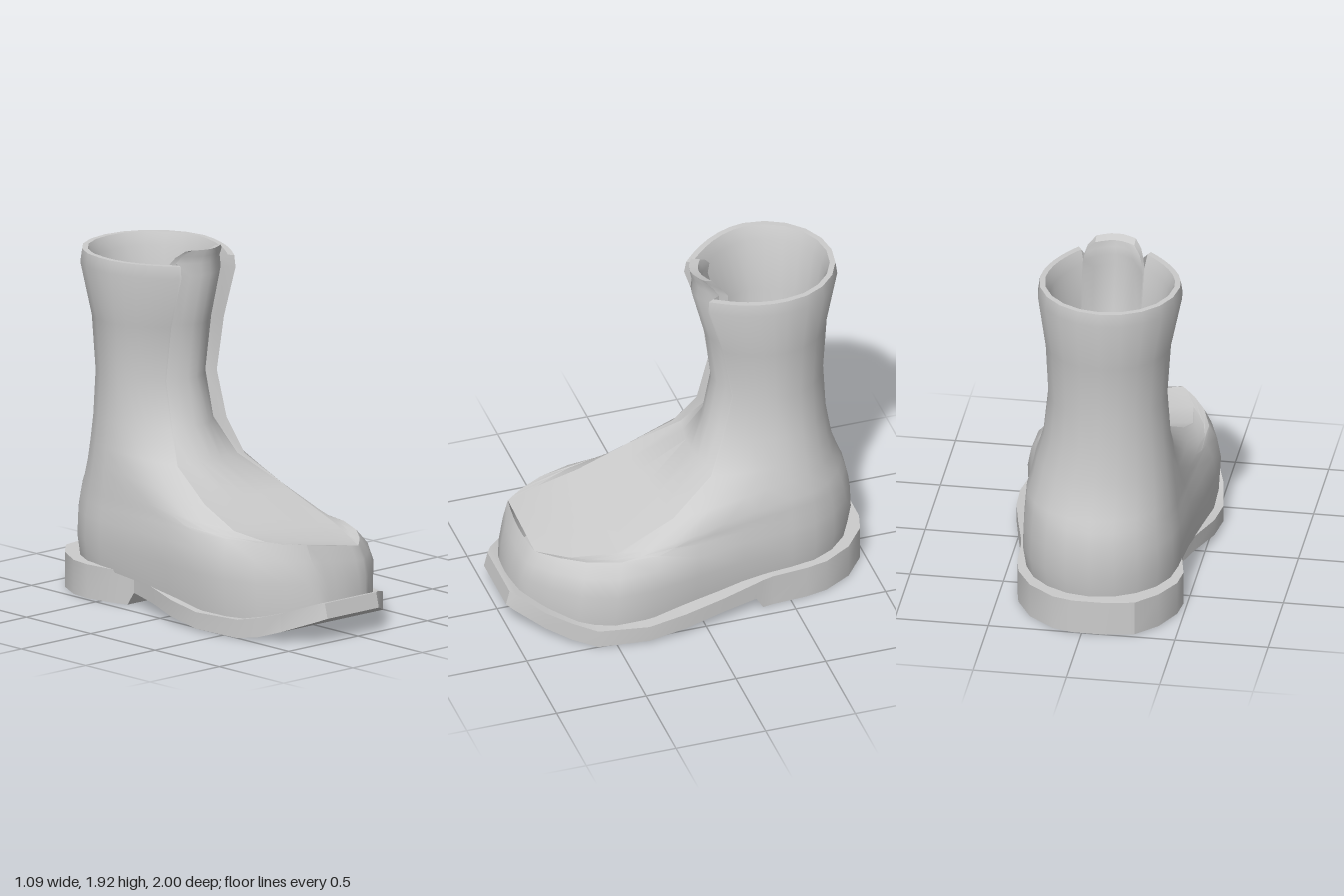
import * as THREE from 'three';
import { mergeGeometries, toCreasedNormals } from 'three/addons/utils/BufferGeometryUtils.js';

const { lerp } = THREE.MathUtils;
const CX = -0.07, CZ = -0.52; // axis of the shaft

// Sole slices from heel to toe: z, right x, left x, top y, bottom y
const SOLE = [
  [-1, -0.13, 0.05, 0.19, 0], [-0.97, -0.28, 0.16, 0.19, 0], [-0.86, -0.39, 0.3, 0.19, 0],
  [-0.71, -0.465, 0.385, 0.185, 0], [-0.59, -0.48, 0.41, 0.185, 0], [-0.4, -0.44, 0.42, 0.18, 0],
  [-0.34, -0.42, 0.43, 0.175, 0], [-0.3, -0.41, 0.44, 0.17, 0.07], [-0.1, -0.465, 0.485, 0.145, 0.06],
  [0.12, -0.53, 0.53, 0.125, 0.035], [0.33, -0.545, 0.545, 0.1, 0.01], [0.6, -0.5, 0.5, 0.1, 0],
  [0.72, -0.46, 0.42, 0.125, 0.02], [0.84, -0.41, 0.33, 0.16, 0.06], [0.97, -0.27, 0.19, 0.205, 0.115],
  [1, -0.22, 0.15, 0.21, 0.13],
];

// Upper rings from sole to rim: front edge A (xyz), front edge B (xyz),
// heel side xs, side y, back z, ball bulge
const RINGS = [
  [-0.2, 0.2, 0.93, 0.13, 0.2, 0.92, -0.44, 0.37, 0.18, -0.94, 0.08],
  [-0.21, 0.3, 0.92, 0.14, 0.28, 0.91, -0.455, 0.39, 0.3, -0.96, 0.08],
  [-0.23, 0.42, 0.89, 0.15, 0.37, 0.88, -0.45, 0.385, 0.43, -0.955, 0.07],
  [-0.24, 0.51, 0.86, 0.15, 0.44, 0.84, -0.44, 0.38, 0.5, -0.945, 0.05],
  [-0.33, 0.5, 0.66, 0.25, 0.43, 0.68, -0.435, 0.375, 0.56, -0.93, 0.04],
  [-0.365, 0.53, 0.43, 0.34, 0.465, 0.44, -0.43, 0.37, 0.62, -0.905, 0.03],
  [-0.355, 0.63, 0.19, 0.31, 0.6, 0.12, -0.42, 0.34, 0.72, -0.87, 0.01],
  [-0.3, 0.78, -0.08, 0.22, 0.76, -0.12, -0.41, 0.32, 0.82, -0.85, 0],
  [-0.235, 0.95, -0.19, 0.165, 0.95, -0.2, -0.395, 0.28, 0.96, -0.83, 0],
  [-0.225, 1.2, -0.25, 0.15, 1.2, -0.26, -0.38, 0.255, 1.2, -0.82, 0],
  [-0.225, 1.5, -0.21, 0.155, 1.5, -0.21, -0.4, 0.27, 1.5, -0.84, 0],
  [-0.235, 1.78, -0.12, 0.16, 1.78, -0.125, -0.46, 0.31, 1.79, -0.9, 0],
  [-0.23, 1.845, -0.13, 0.155, 1.845, -0.13, -0.45, 0.3, 1.86, -0.89, 0],
];

function soleTop(z) {
  let i = 0;
  while (i < SOLE.length - 2 && SOLE[i + 1][0] < z) i++;
  const a = SOLE[i], b = SOLE[i + 1];
  return lerp(a[3], b[3], (z - a[0]) / (b[0] - a[0]));
}

// Surface through rows of points; seen from outside, columns run leftward as rows run up
function grid(rows) {
  const n = rows[0].length, index = [];
  for (let i = 0; i < rows.length - 1; i++) {
    for (let j = 0; j < n - 1; j++) {
      const a = i * n + j, b = a + 1, d = a + n, c = d + 1;
      index.push(a, d, c, a, c, b);
    }
  }
  const g = new THREE.BufferGeometry();
  g.setAttribute('position', new THREE.Float32BufferAttribute(rows.flat(2), 3));
  g.setIndex(index);
  return g.toNonIndexed();
}

// One ring of the upper: front edge A, side, back, side, front edge B
function ringPoints(r, first) {
  const [ax, ay, az, bx, by, bz, xl, xr, ys, zb, bulge] = r;
  const pts = [], N = 8, H = 10;
  const fore = (ex, ey, ez, sx, push, t) => {
    const s = Math.sin(t * Math.PI / 2);
    const z = lerp(CZ, ez, s);
    const x = lerp(sx, ex, Math.pow(s, 2 + bulge * 50)) + push * Math.sin(Math.PI * s * s);
    return [x, first ? soleTop(z) - 0.01 : lerp(ys, ey, s), z];
  };
  for (let k = N; k > 0; k--) pts.push(fore(ax, ay, az, xl, -bulge, k / N));
  for (let k = 0; k <= H; k++) {
    const a = Math.PI * k / H;
    const z = CZ + (zb - CZ) * Math.sin(a);
    pts.push([(xl + xr) / 2 - (xr - xl) / 2 * Math.cos(a), first ? soleTop(z) - 0.01 : ys, z]);
  }
  for (let k = 1; k <= N; k++) pts.push(fore(bx, by, bz, xr, bulge * 1.7, k / N));
  return pts;
}

// Move a point toward the shaft axis
const inward = (p, f, dy = 0) => [CX + (p[0] - CX) * f, p[1] + dy, CZ + (p[2] - CZ) * f];

// Strip from edge b to edge a, arched forward
function span(b, a, arch, n = 6) {
  return Array.from({ length: n + 1 }, (_, k) => {
    const t = k / n;
    return [lerp(b[0], a[0], t), lerp(b[1], a[1], t), lerp(b[2], a[2], t) + arch * Math.sin(Math.PI * t)];
  });
}

export function createModel() {
  const group = new THREE.Group();
  group.name = 'boot';
  const solid = new THREE.MeshStandardMaterial({ color: 0xcccccc });
  const leather = new THREE.MeshStandardMaterial({ color: 0xcccccc, side: THREE.DoubleSide });
  const add = (name, geo, material, crease = 0.75) => {
    const mesh = new THREE.Mesh(toCreasedNormals(geo, crease), material);
    mesh.name = name;
    group.add(mesh);
  };

  // Sole with stepped heel, ends closed to a point
  const slices = SOLE.map(([z, x0, x1, top, bot]) => {
    const zt = z > 0.9 ? z - 0.02 : z;
    return [[x0, top, zt], [x1, top, zt], [x1, bot, z], [x0, bot, z], [x0, top, zt]];
  });
  const cap = ([z, x0, x1, top, bot]) => Array(5).fill([(x0 + x1) / 2, (top + bot) / 2, z > 0 ? z - 0.01 : z]);
  add('sole', grid([cap(SOLE[0]), ...slices, cap(SOLE.at(-1))]), solid, 0.5);

  // Upper: outer wall, rolled rim and lining, with the toe closed in front
  const outer = RINGS.map((r, i) => ringPoints(r, i === 0));
  const lining = [[12, 0.92, 0], [11, 0.82, 0], [10, 0.82, 0], [9, 0.82, 0], [9, 0.79, -0.06]]
    .map(([i, f, dy]) => outer[i].map((p) => inward(p, f, dy)));
  const edgeA = outer.map((ring) => ring[0]);
  const edgeB = outer.map((ring) => ring.at(-1));
  const toe = [0, 1, 2, 3].map((i) => span(edgeB[i], edgeA[i], 0.02));
  add('upper', mergeGeometries([grid([...outer, ...lining]), grid(toe)]), leather);

  // Flap edges folding in to the tongue
  const fold = (p, i) => inward(p, i < 7 ? 1 : i === 7 ? 0.92 : 0.82);
  const foldA = edgeA.map(fold), foldB = edgeB.map(fold);
  const high = [6, 7, 8, 9, 10, 11, 12];
  add('rightFlapEdge', grid(high.map((i) => [foldA[i], edgeA[i]])), leather);
  add('leftFlapEdge', grid(high.map((i) => [edgeB[i], foldB[i]])), leather);

  // Instep panel rising into the tongue, with a rounded tip and a back face
  const arch = (i) => (i < 7 ? 0 : i === 7 ? 0.04 : 0.095);
  const front = [];
  for (let i = 3; i <= 12; i++) front.push(span(foldB[i], foldA[i], arch(i)));
  front.push(span([0.1, 1.885, -0.17], [-0.185, 1.885, -0.17], 0.075));
  front.push(span([0.06, 1.92, -0.13], [-0.15, 1.92, -0.13], 0.04));
  const back = front.slice(6).reverse().map((row) => row.map(([x, y, z]) => [x, y - 0.015, z - 0.05]));
  add('tongue', grid([...front, ...back]), leather);

  // Floor inside the shaft
  const floor = new THREE.CircleGeometry(0.26, 24).rotateX(-Math.PI / 2).translate(-0.065, 1.15, CZ);
  add('insole', floor, leather);

  return group;
}
